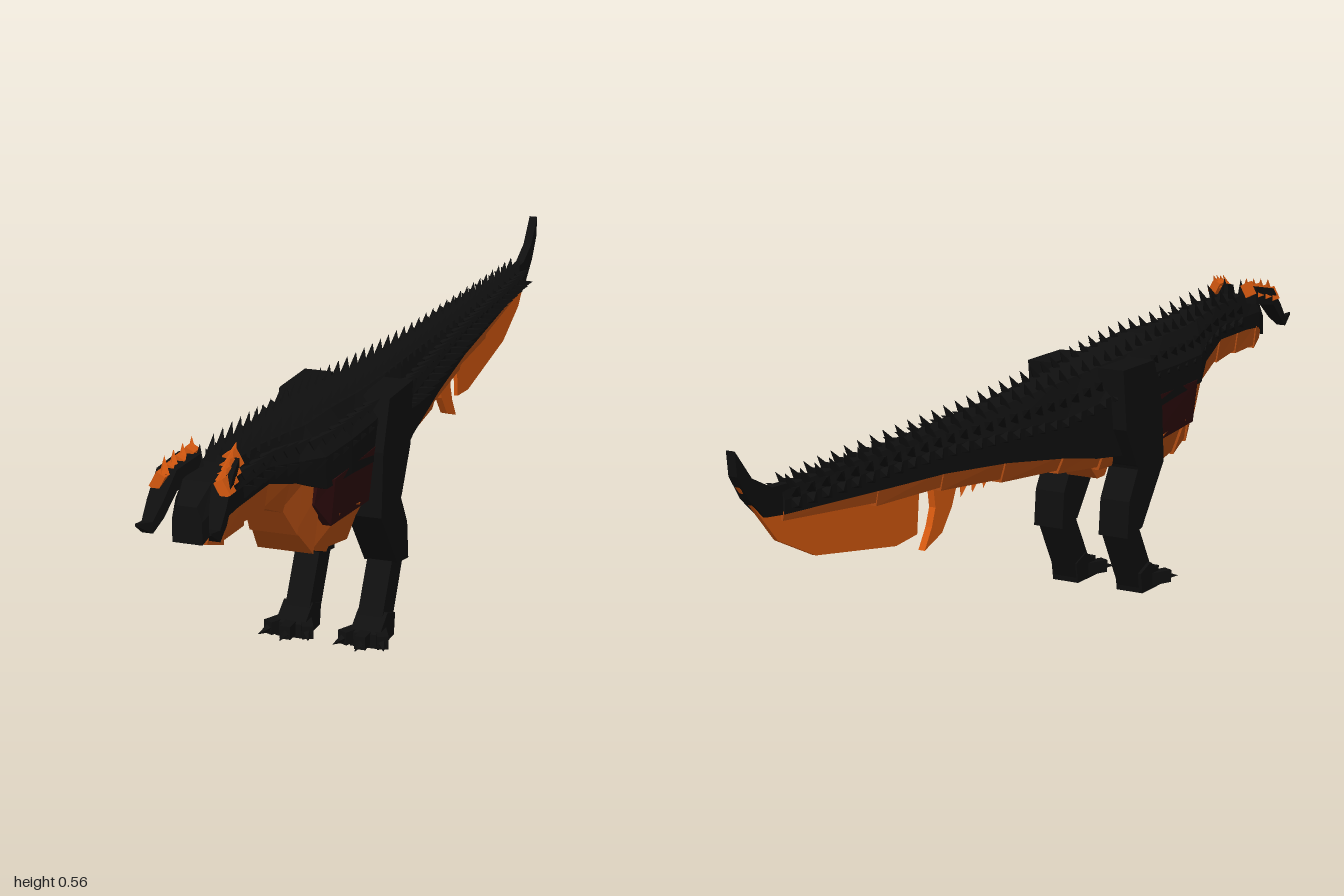
import * as THREE from 'three';

const mat = (name, color, side = THREE.FrontSide) => {
  const m = new THREE.MeshStandardMaterial({ color, side });
  m.name = name;
  m.flatShading = true;
  return m;
};

export function createModel() {
  const root = new THREE.Group();
  const black = mat('charcoal hide', 0x0f0f0f);
  const belly = mat('belly orange', 0xb04c12);
  const bright = mat('bright orange', 0xd4580f, THREE.DoubleSide);
  const red = mat('dark red', 0x2c0a0b);

  const add = (name, geo, material, parent = root) => {
    const m = new THREE.Mesh(geo, material);
    m.name = name;
    parent.add(m);
    return m;
  };

  // Skins a row of cross-sections (counter-clockwise in x,y), front to back
  const loft = (sections) => {
    const pos = [];
    const n = sections[0].pts.length;
    const v = (s, j) => pos.push(s.pts[j % n][0], s.pts[j % n][1], s.z);
    for (let i = 0; i < sections.length - 1; i++) {
      const a = sections[i], b = sections[i + 1];
      for (let j = 0; j < n; j++) {
        v(a, j); v(b, j); v(b, j + 1);
        v(a, j); v(b, j + 1); v(a, j + 1);
      }
    }
    const f = sections[0], l = sections[sections.length - 1];
    for (let j = 1; j < n - 1; j++) {
      v(f, 0); v(f, j); v(f, j + 1);
      v(l, 0); v(l, j + 1); v(l, j);
    }
    const g = new THREE.BufferGeometry();
    g.setAttribute('position', new THREE.Float32BufferAttribute(pos, 3));
    g.computeVertexNormals();
    return g;
  };

  // Side outline given as (z, y), extruded to a thickness centred on x
  const slab = (pts, thick, x = 0) => {
    const g = new THREE.ExtrudeGeometry(
      new THREE.Shape(pts.map(([z, y]) => new THREE.Vector2(z, y))),
      { depth: thick, bevelEnabled: false });
    return g.translate(0, 0, -thick / 2).rotateY(-Math.PI / 2).translate(x, 0, 0);
  };

  const up = new THREE.Vector3(0, 1, 0);
  const spike = (name, p, d, r, len, material, parent) => {
    const dir = new THREE.Vector3(...d).normalize();
    const m = add(name, new THREE.ConeGeometry(r, len, 4).translate(0, len / 2, 0), material, parent);
    m.position.set(...p);
    m.quaternion.setFromUnitVectors(up, dir);
  };

  // Back and head: z, lower edge, shoulder, ridge, half width, ridge half width
  const back = [
    [0.945, 0.42, 0.46, 0.485, 0.027, 0.018], [0.90, 0.445, 0.48, 0.515, 0.04, 0.026],
    [0.83, 0.45, 0.48, 0.525, 0.042, 0.026], [0.70, 0.45, 0.48, 0.52, 0.045, 0.03],
    [0.60, 0.42, 0.46, 0.51, 0.06, 0.035], [0.53, 0.39, 0.45, 0.505, 0.085, 0.045],
    [0.42, 0.385, 0.45, 0.505, 0.092, 0.05], [0.29, 0.37, 0.45, 0.495, 0.092, 0.05],
    [0.27, 0.29, 0.45, 0.493, 0.09, 0.05], [0.10, 0.31, 0.42, 0.48, 0.074, 0.04],
    [0, 0.33, 0.41, 0.475, 0.062, 0.035], [-0.2, 0.36, 0.42, 0.465, 0.048, 0.025],
    [-0.4, 0.38, 0.43, 0.46, 0.036, 0.02], [-0.6, 0.39, 0.43, 0.455, 0.026, 0.014],
    [-0.87, 0.405, 0.43, 0.45, 0.013, 0.007]];
  add('back', loft(back.map(([z, lo, mid, top, w, t]) => ({
    z, pts: [[-w, lo], [w, lo], [w, mid], [t, top], [-t, top], [-w, mid]] }))), black);
  const at = (z) => {
    let i = 0;
    while (i < back.length - 2 && back[i + 1][0] > z) i++;
    const k = (back[i][0] - z) / (back[i][0] - back[i + 1][0]);
    return back[i].map((a, j) => a + (back[i + 1][j] - a) * k);
  };

  // Stepped underside plates: z, upper edge, lower edge, half widths
  const under = [
    [0.925, 0.445, 0.41, 0.034, 0.028], [0.88, 0.45, 0.402, 0.041, 0.036],
    [0.79, 0.455, 0.405, 0.041, 0.034], [0.70, 0.455, 0.40, 0.043, 0.034],
    [0.62, 0.43, 0.372, 0.052, 0.036], [0.575, 0.41, 0.315, 0.055, 0.045],
    [0.52, 0.39, 0.262, 0.07, 0.053], [0.46, 0.32, 0.246, 0.082, 0.055],
    [0.36, 0.31, 0.236, 0.084, 0.057], [0.29, 0.31, 0.265, 0.075, 0.052],
    [0.15, 0.32, 0.275, 0.064, 0.048], [0, 0.335, 0.298, 0.056, 0.04],
    [-0.2, 0.365, 0.322, 0.044, 0.032], [-0.4, 0.385, 0.348, 0.032, 0.024],
    [-0.6, 0.395, 0.362, 0.022, 0.016], [-0.87, 0.41, 0.395, 0.011, 0.008]];
  for (let i = 0; i < under.length - 1; i++) {
    const sec = ([z, hi, lo, w, b], s, dy) => ({
      z, pts: [[-b * s, lo + dy], [b * s, lo + dy], [w * s, hi], [-w * s, hi]] });
    add('bellyPlate', loft([sec(under[i], 0.95, 0.004), sec(under[i + 1], 1.02, -0.002)]), belly);
  }

  // Dark red flanks
  add('flanks', loft([[0.54, 0.36, 0.072], [0.5, 0.31, 0.09], [0.28, 0.295, 0.094]].map(
    ([z, lo, w]) => ({ z, pts: [[-w * 0.9, lo], [w * 0.9, lo], [w, 0.4], [-w, 0.4]] }))), red);

  // Ridge spikes along neck, back and tail, with a row on each side
  const spikes = new THREE.Group();
  spikes.name = 'backSpikes';
  root.add(spikes);
  for (let z = 0.8; z > -0.88; z -= 0.042) {
    const [, , mid, top, w, t] = at(z);
    const len = z > 0.55 ? 0.05 : z > 0.25 ? 0.044 : 0.042;
    for (const s of [-1, 1]) {
      spike('ridgeSpike', [s * t * 0.8, top - 0.008, z], [s * 0.12, 1, -0.8], 0.012, len, black, spikes);
      spike('shoulderSpike', [s * (w + t) / 2, (mid + top) / 2 - 0.004, z], [s * 0.8, 0.6, -0.9], 0.014, 0.036, black, spikes);
      const out = z > 0.2 ? 0.03 : z > -0.5 ? 0.05 : 0.042;
      spike('sideSpike', [s * w * 0.85, mid - 0.01, z], [s, 0.1, -1.1], 0.016, out, black, spikes);
    }
  }

  // Upturned tail tip, tail fin and hooks
  add('tailTip', slab([[-0.84, 0.455], [-0.90, 0.458], [-0.955, 0.485], [-1, 0.54], [-0.995, 0.495],
    [-0.965, 0.45], [-0.92, 0.41], [-0.84, 0.40]], 0.018), black);
  add('tailFin', slab([[-0.44, 0.37], [-0.45, 0.272], [-0.52, 0.266], [-0.77, 0.308], [-0.88, 0.36],
    [-0.985, 0.475], [-0.90, 0.415], [-0.7, 0.40]], 0.008), bright);
  add('tailHook', slab([[-0.31, 0.355], [-0.335, 0.30], [-0.37, 0.257], [-0.43, 0.236], [-0.405, 0.275],
    [-0.392, 0.31], [-0.40, 0.36]], 0.014), bright);
  for (const z of [-0.2, -0.24, -0.28]) {
    spike('tailBarb', [0, 0.34, z], [0, -1, -0.4], 0.012, 0.035, bright);
  }
  add('rumpWedge', slab([[0.24, 0.30], [0.2, 0.25], [0.17, 0.25], [0.12, 0.30]], 0.07), belly);

  for (const s of [-1, 1]) {
    // Horns curving forward and out, with an orange crest at the base
    const head = new THREE.Group();
    head.name = s > 0 ? 'leftHorn' : 'rightHorn';
    root.add(head);
    const path = [[0.035, 0.525, 0.85, 0.02], [0.05, 0.515, 0.91, 0.018], [0.056, 0.475, 0.945, 0.015],
      [0.06, 0.45, 0.97, 0.01], [0.066, 0.463, 1, 0.002]].reverse();
    add('horn', loft(path.map(([x, y, z, r]) => ({ z, pts:
      [[s * x - r, y - r], [s * x + r, y - r], [s * x + r, y + r], [s * x - r, y + r]] }))), black, head);
    for (let i = 0; i < 4; i++) {
      const z = 0.92 - i * 0.026;
      const crest = add('crestPlate', new THREE.BoxGeometry(0.018, 0.03, 0.025), bright, head);
      crest.position.set(s * (0.058 - i * 0.006), 0.517 + i * 0.007, z);
      crest.rotation.z = s * 0.5;
      spike('crestSpike', [s * (0.05 - i * 0.005), 0.525 + i * 0.004, z], [s * 0.2, 1, -0.5], 0.01, 0.033, bright, head);
    }
    spike('browSpike', [s * 0.02, 0.515, 0.85], [0, 1, -0.2], 0.012, 0.045, black, head);

    // Legs
    const leg = new THREE.Group();
    leg.name = s > 0 ? 'leftLeg' : 'rightLeg';
    root.add(leg);
    add('hip', slab([[0.27, 0.485], [0.14, 0.485], [0.155, 0.36], [0.20, 0.28], [0.23, 0.24],
      [0.315, 0.265], [0.305, 0.39]], 0.058, s * 0.081), black, leg);
    add('thigh', slab([[0.315, 0.265], [0.305, 0.31], [0.19, 0.31], [0.205, 0.27], [0.17, 0.21],
      [0.163, 0.135], [0.225, 0.145]], 0.067, s * 0.076), black, leg);
    add('shin', slab([[0.226, 0.15], [0.164, 0.14], [0.235, 0.01], [0.285, 0.045]], 0.05, s * 0.074), black, leg);
    add('foot', slab([[0.235, 0.002], [0.228, 0.045], [0.27, 0.06], [0.315, 0.03], [0.315, 0.002]],
      0.06, s * 0.076), black, leg);
    for (const t of [-1, 0, 1]) {
      const toe = add('toe', new THREE.BoxGeometry(0.022, 0.026, 0.06), black, leg);
      toe.position.set(s * 0.076 + t * 0.028, 0.021, 0.312 - Math.abs(t) * 0.012);
      toe.rotation.y = t * 0.45;
      spike('claw', [s * 0.076 + t * 0.036, 0.02, 0.332 - Math.abs(t) * 0.014],
        [t * 0.45, -0.15, 1], 0.011, 0.038, black, leg);
    }
  }
  return root;
}
